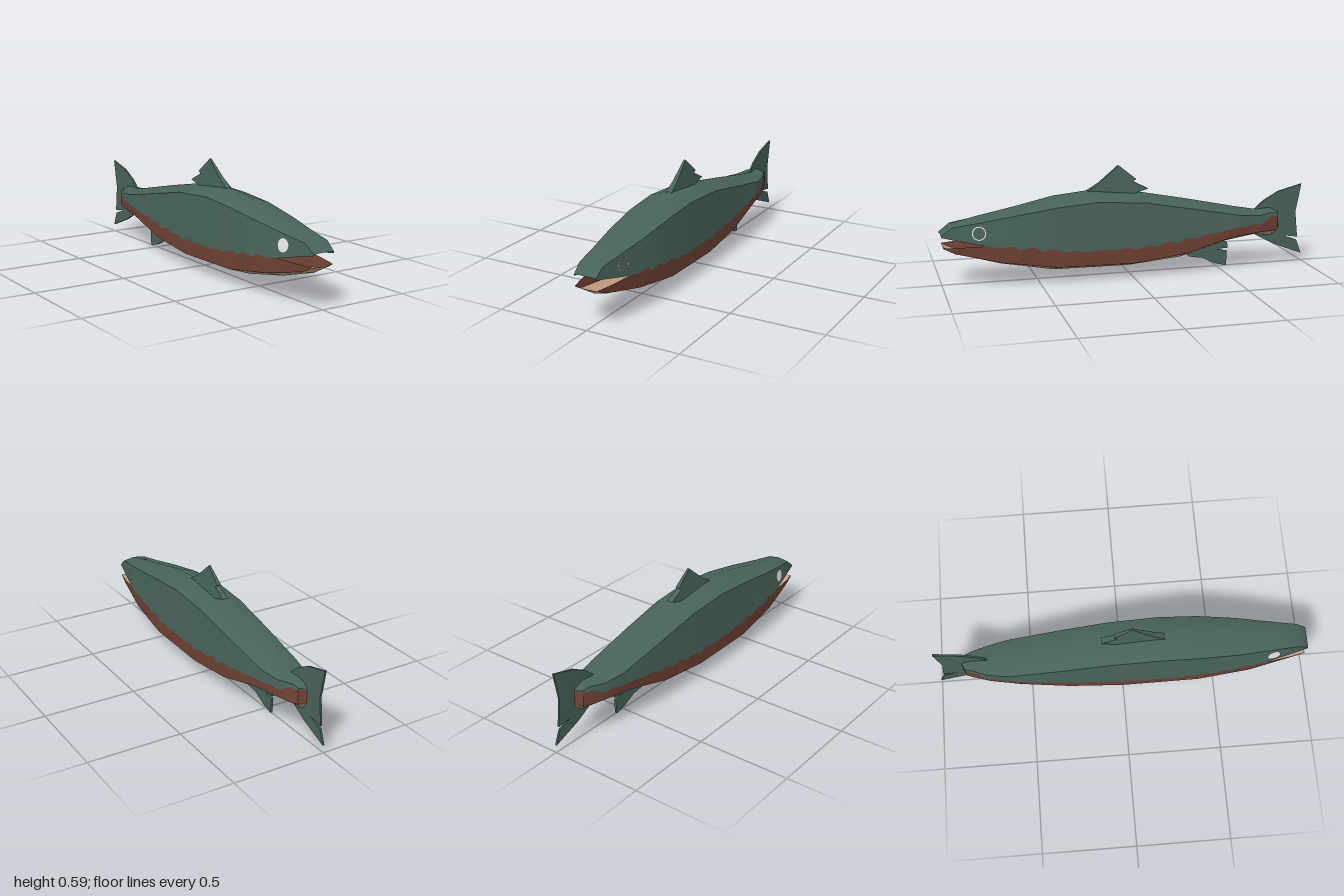
import * as THREE from 'three';

const mat = (name, color, side = THREE.FrontSide) =>
  Object.assign(new THREE.MeshStandardMaterial({ color, side }), { name });

// Lengthwise edges of the hollow body as [z, half width, y], snout to tail
const ridge = [[1, 0, 0.28], [0.945, 0, 0.33], [0.82, 0, 0.36], [0.62, 0, 0.4], [0.41, 0, 0.447], [0.2, 0, 0.468],
  [-0.06, 0, 0.443], [-0.31, 0, 0.395], [-0.61, 0, 0.332], [-0.72, 0, 0.312], [-0.8, 0, 0.318], [-0.84, 0, 0.302], [-0.86, 0, 0.29]];
const shoulder = [[1, 0.06, 0.278], [0.945, 0.065, 0.32], [0.82, 0.08, 0.338], [0.62, 0.105, 0.372], [0.41, 0.12, 0.405], [0.2, 0.123, 0.423],
  [-0.06, 0.121, 0.407], [-0.31, 0.116, 0.36], [-0.61, 0.104, 0.302], [-0.72, 0.083, 0.292], [-0.8, 0.055, 0.3], [-0.84, 0.042, 0.29], [-0.86, 0, 0.285]];
const upperLip = [[1, 0.06, 0.27], [0.78, 0.103, 0.222]];
const lowerLip = [[0.99, 0.063, 0.215], [0.92, 0.08, 0.217], [0.78, 0.103, 0.222]];
const seam = [[0.78, 0.103, 0.222], [0.58, 0.128, 0.2], [0.3, 0.136, 0.168], [-0.02, 0.134, 0.165], [-0.29, 0.127, 0.195],
  [-0.56, 0.117, 0.235], [-0.72, 0.087, 0.245], [-0.84, 0.046, 0.283], [-0.86, 0, 0.283]];
const chine = [[0.99, 0.063, 0.212], [0.93, 0.07, 0.182], [0.69, 0.108, 0.13], [0.41, 0.126, 0.09], [0, 0.126, 0.085],
  [-0.29, 0.12, 0.118], [-0.555, 0.11, 0.188], [-0.715, 0.084, 0.2], [-0.81, 0.053, 0.197], [-0.84, 0.043, 0.203], [-0.86, 0, 0.205]];
const keel = [[0.99, 0, 0.21], [0.93, 0, 0.168], [0.69, 0, 0.1], [0.41, 0, 0.048], [0, 0, 0.044],
  [-0.29, 0, 0.07], [-0.555, 0, 0.145], [-0.715, 0, 0.17], [-0.81, 0, 0.157], [-0.84, 0, 0.175], [-0.86, 0, 0.203]];

// Point on an edge at a given z; s picks the side
function at(edge, z, s = 1) {
  let i = 0;
  while (i < edge.length - 2 && z < edge[i + 1][0]) i++;
  const a = edge[i], b = edge[i + 1];
  const t = THREE.MathUtils.clamp((z - a[0]) / (b[0] - a[0]), 0, 1);
  return [s * THREE.MathUtils.lerp(a[1], b[1], t), THREE.MathUtils.lerp(a[2], b[2], t), z];
}

// Wavy colour boundary, parting into a lip ahead of the mouth corner
function boundary(lip, z, s) {
  if (z >= 0.78) return at(lip, z, s);
  const p = at(seam, z, s);
  if (z < 0.74 && z > -0.8) p[1] += 0.012 * Math.abs(Math.sin(z * 26)) + 0.004 * Math.sin(z * 61) - 0.006;
  return p;
}

// Skin from rows of points, one row for each z
function skin(zs, row) {
  const rows = zs.map(row), n = rows[0].length, index = [];
  for (let i = 0; i < rows.length - 1; i++) {
    for (let j = 0; j < n - 1; j++) {
      const a = i * n + j, b = a + n;
      index.push(a, a + 1, b, a + 1, b + 1, b);
    }
  }
  const g = new THREE.BufferGeometry();
  g.setAttribute('position', new THREE.Float32BufferAttribute(rows.flat(2), 3));
  g.setIndex(index);
  g.computeVertexNormals();
  return g;
}

// Fin from a side outline of [z, y], its half thickness tapering with height
function fin(outline, y0, w0, y1, w1) {
  const shape = new THREE.Shape(outline.map(([z, y]) => new THREE.Vector2(z, y)));
  const g = new THREE.ExtrudeGeometry(shape, { depth: 2, bevelEnabled: false });
  g.translate(0, 0, -1).rotateY(-Math.PI / 2);
  const p = g.attributes.position;
  for (let i = 0; i < p.count; i++) {
    p.setX(i, p.getX(i) * THREE.MathUtils.mapLinear(p.getY(i), y0, y1, w0, w1));
  }
  g.computeVertexNormals();
  return g;
}

export function createModel() {
  const green = mat('green skin', 0x48635a, THREE.DoubleSide);
  const red = mat('red stripe', 0x744436, THREE.DoubleSide);
  const tan = mat('pale belly', 0xc8a086, THREE.DoubleSide);
  const white = mat('eye white', 0xececec, THREE.DoubleSide);
  const group = new THREE.Group();
  const add = (name, geometry, material) => {
    const m = new THREE.Mesh(geometry, material);
    m.name = name;
    group.add(m);
    return m;
  };

  // Body skins
  const fine = [0.99, 0.945, 0.78, -0.84];
  for (let i = 0; i <= 90; i++) fine.push(1 - 1.86 * i / 90);
  fine.sort((a, b) => b - a);
  const fineLow = fine.filter(z => z <= 0.99);

  add('back', skin(ridge.map(k => k[0]), z => [at(shoulder, z, -1), at(ridge, z), at(shoulder, z)]), green);
  add('belly', skin(keel.map(k => k[0]), z => [at(chine, z), at(keel, z), at(chine, z, -1)]), tan);
  for (const s of [1, -1]) {
    const side = s > 0 ? 'left' : 'right';
    const order = pts => (s > 0 ? pts : pts.reverse());
    add(side + 'Flank', skin(fine, z => order([at(shoulder, z, s), boundary(upperLip, z, s)])), green);
    add(side + 'Stripe', skin(fineLow, z => order([boundary(lowerLip, z, s), at(chine, z, s)])), red);
  }

  // Fins
  add('dorsalFin', fin([[0.24, 0.44], [0.22, 0.466], [0.16, 0.503], [0.056, 0.593], [-0.04, 0.515], [-0.022, 0.503],
    [-0.105, 0.46], [-0.03, 0.44]], 0.44, 0.019, 0.593, 0.005), green);
  add('tailFin', fin([[-0.715, 0.31], [-0.77, 0.358], [-0.855, 0.405], [-0.99, 0.44], [-0.96, 0.285], [-0.975, 0.14], [-0.89, 0.152],
    [-0.97, 0.122], [-1, 0.045], [-0.84, 0.105], [-0.715, 0.172]], 0, 0.005, 0.44, 0.005), green);
  add('analFin', fin([[-0.33, 0.08], [-0.34, 0.068], [-0.42, 0.055], [-0.49, 0.02], [-0.555, 0.004], [-0.56, 0.085], [-0.5, 0.1],
    [-0.565, 0.103], [-0.56, 0.135], [-0.5, 0.16]], 0, 0.006, 0.16, 0.006), green);

  // Eyes lie on the flank: a ring on one side, a plain disc on the other
  const flankX = (z, y) => {
    const a = at(shoulder, z), b = boundary(upperLip, z, 1);
    return THREE.MathUtils.mapLinear(y, b[1], a[1], b[0], a[0]);
  };
  const ez = 0.81, ey = 0.288, d = 0.02;
  for (const s of [1, -1]) {
    const geo = s > 0 ? new THREE.RingGeometry(0.031, 0.036, 32) : new THREE.CircleGeometry(0.036, 32);
    const eye = add(s > 0 ? 'leftEyeRing' : 'rightEye', geo, white);
    const n = new THREE.Vector3(s, -(flankX(ez, ey + d) - flankX(ez, ey - d)) / (2 * d),
      -(flankX(ez + d, ey) - flankX(ez - d, ey)) / (2 * d)).normalize();
    eye.quaternion.setFromUnitVectors(new THREE.Vector3(0, 0, 1), n);
    eye.position.set(s * flankX(ez, ey), ey, ez).addScaledVector(n, 0.005);
  }
  return group;
}
